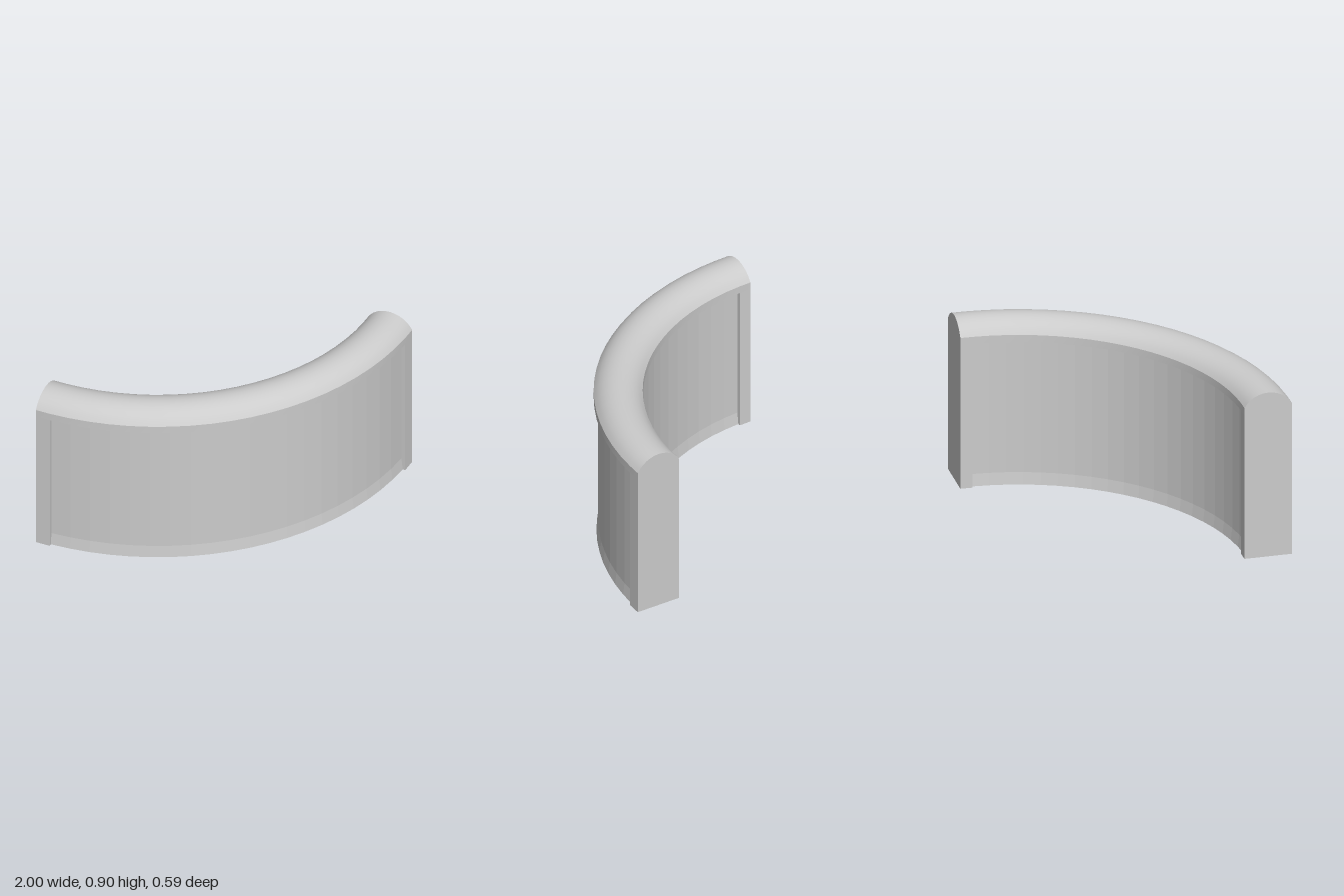
import * as THREE from 'three';
import { toCreasedNormals } from 'three/addons/utils/BufferGeometryUtils.js';

const CENTRE_Z = -1.12;               // axis of the quarter-circle plan
const R_IN = 1.168, R_OUT = 1.414;    // inner and outer radius of the full section
const P_IN = 1.19, P_OUT = 1.392;     // recessed wall faces
const LIP = 0.793, SPRING = 0.833, TOP = 0.905;
const END = Math.PI / 4, POST = THREE.MathUtils.degToRad(41.9);

// Sweeps a counter-clockwise (radius, height) profile around the vertical axis.
function sweep(profile, angles, { closed = true, ends = true } = {}) {
  const out = [];
  const put = ([r, y], a) => out.push(r * Math.sin(a), y, r * Math.cos(a) + CENTRE_Z);
  const n = profile.length;
  for (let i = 0; i < (closed ? n : n - 1); i++) {
    const p = profile[i], q = profile[(i + 1) % n];
    for (let j = 0; j < angles.length - 1; j++) {
      const a = angles[j], b = angles[j + 1];
      put(p, a); put(p, b); put(q, b);
      put(p, a); put(q, b); put(q, a);
    }
  }
  if (ends) {
    const pts = profile.map(([r, y]) => new THREE.Vector2(r, y));
    for (const [i, j, k] of THREE.ShapeUtils.triangulateShape(pts, [])) {
      for (const v of [i, j, k]) put(profile[v], angles[0]);
      for (const v of [k, j, i]) put(profile[v], angles[angles.length - 1]);
    }
  }
  const g = new THREE.BufferGeometry();
  g.setAttribute('position', new THREE.Float32BufferAttribute(out, 3));
  g.computeVertexNormals();
  return g;
}

export function createModel() {
  const group = new THREE.Group();
  const material = new THREE.MeshStandardMaterial({ color: 0xcccccc });
  const add = (name, geometry) => {
    const mesh = new THREE.Mesh(geometry, material);
    mesh.name = name;
    group.add(mesh);
  };

  const panelAngles = Array.from({ length: 21 }, (_, i) => -POST + (2 * POST * i) / 20);

  // Recessed wall with a slight flare at the foot, faceted
  add('wallPanel', sweep([
    [P_IN, LIP], [P_IN, 0.065], [P_IN - 0.008, 0],
    [P_OUT + 0.008, 0], [P_OUT, 0.065], [P_OUT, LIP],
  ], panelAngles, { closed: false, ends: false }));

  // Full-thickness posts closing both ends
  const post = [[R_IN, LIP], [R_IN, 0], [R_OUT, 0], [R_OUT, LIP]];
  add('leftEndPost', sweep(post, [POST, END]));
  add('rightEndPost', sweep(post, [-END, -POST]));

  // Rounded coping: short vertical lip and a circular-arc top
  const half = (R_OUT - R_IN) / 2, rise = TOP - SPRING;
  const arcR = (half * half + rise * rise) / (2 * rise);
  const spread = Math.asin(half / arcR);
  const coping = [[R_IN, LIP], [R_OUT, LIP]];
  for (let i = 0; i <= 12; i++) {
    const t = spread * (1 - i / 6);
    coping.push([(R_IN + R_OUT) / 2 + arcR * Math.sin(t), TOP - arcR + arcR * Math.cos(t)]);
  }
  add('coping', toCreasedNormals(sweep(coping, [-END, ...panelAngles, END]), 0.4));

  return group;
}
